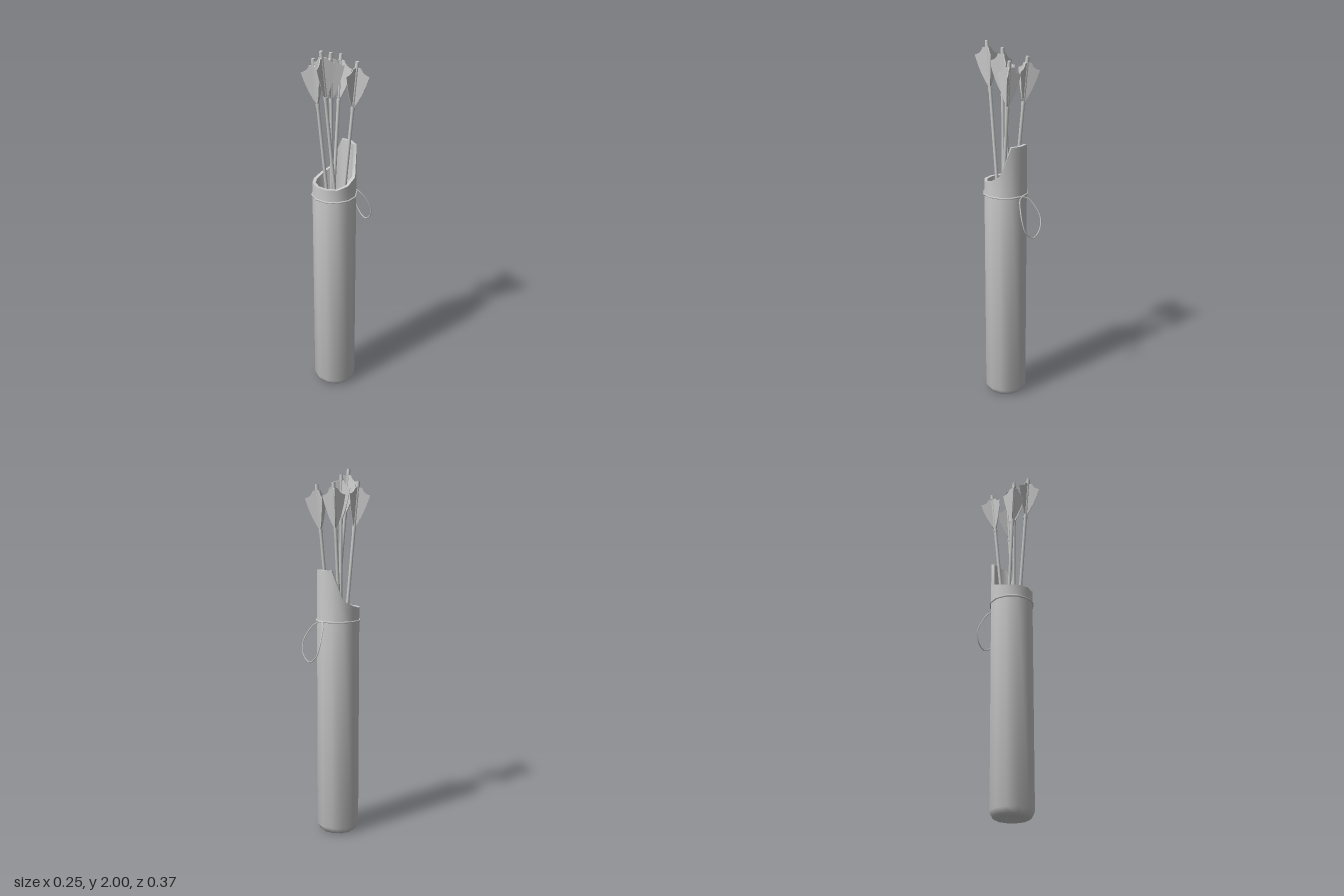
import * as THREE from 'three';
import { toCreasedNormals } from 'three/addons/utils/BufferGeometryUtils.js';

const SIDES = 12;
const CENTER_Z = 0.025;
const FLOOR_Y = 0.93;
const material = new THREE.MeshStandardMaterial({ color: 0xcccccc });
const v2 = (x, y) => new THREE.Vector2(x, y);
const v3 = (x, y, z) => new THREE.Vector3(x, y, z);

function part(name, geometry, parent) {
  const mesh = new THREE.Mesh(geometry, material);
  mesh.name = name;
  parent.add(mesh);
  return mesh;
}

// Hollow case: a lathe whose rim climbs from the low front to the tall back
function caseGeometry() {
  const rim = [1.265, 1.265, 1.265, 1.28, 1.31, 1.47, 1.47];
  const profile = [
    v2(0, 0), v2(0.088, 0), v2(0.102, 0.01), v2(0.117, 0.038),
    v2(0.118, 1.19), v2(0.118, 1.3), v2(0.1, 1.3), v2(0.093, FLOOR_Y), v2(0, FLOOR_Y),
  ];
  const geometry = new THREE.LatheGeometry(profile, SIDES);
  const p = geometry.attributes.position;
  for (let i = 0; i < p.count; i++) {
    if (p.getY(i) < 1.25) continue;
    const angle = Math.abs(Math.atan2(p.getX(i), p.getZ(i)));
    p.setY(i, rim[Math.round(angle / (Math.PI / 6))]);
  }
  return toCreasedNormals(geometry, 0.7);
}

// Feather: a swept blade, thick at the shaft and thin at its outer edge
function vaneGeometry() {
  const shape = new THREE.Shape();
  shape.moveTo(0, -0.25);
  shape.quadraticCurveTo(0.045, -0.18, 0.07, -0.07);
  shape.quadraticCurveTo(0.035, -0.065, 0.025, -0.035);
  shape.lineTo(0, -0.03);
  const geometry = new THREE.ExtrudeGeometry(shape, { depth: 0.007, bevelEnabled: false, curveSegments: 4 });
  geometry.translate(0, 0, -0.0035);
  const p = geometry.attributes.position;
  for (let i = 0; i < p.count; i++) p.setZ(i, p.getZ(i) * (1 - 0.8 * p.getX(i) / 0.07));
  geometry.computeVertexNormals();
  return geometry;
}

// Arrow hung from its nock; vaneAngle is measured from +x towards +z
function makeArrow(nock, foot, vaneAngle, vane) {
  const arrow = new THREE.Group();
  arrow.name = 'arrow';
  const length = nock.distanceTo(foot);
  part('shaft', new THREE.CylinderGeometry(0.009, 0.009, length - 0.02, 8), arrow).position.y = -length / 2 - 0.01;
  part('nock', new THREE.CylinderGeometry(0.009, 0.011, 0.03, 8), arrow).position.y = -0.015;
  part('featherBinding', new THREE.CylinderGeometry(0.011, 0.011, 0.02, 8), arrow).position.y = -0.25;
  for (let i = 0; i < 3; i++) {
    const angle = vaneAngle + i * 120;
    part('feather', vane, arrow).rotation.y = -THREE.MathUtils.degToRad(angle);
  }
  arrow.position.copy(nock);
  arrow.quaternion.setFromUnitVectors(v3(0, 1, 0), nock.clone().sub(foot).normalize());
  return arrow;
}

export function createModel() {
  const model = new THREE.Group();
  model.name = 'quiver';

  part('case', caseGeometry(), model).position.z = CENTER_Z;

  // Cord wrapped around the case
  const band = new THREE.TorusGeometry(0.12, 0.005, 6, SIDES);
  band.rotateX(Math.PI / 2);
  part('cord', band, model).position.set(0, 1.195, CENTER_Z);

  // Hanging loop at the back, mirrored about x = 0
  const half = [
    v3(0.035, 1.18, -0.117), v3(0.06, 1.13, -0.148), v3(0.069, 1.08, -0.17), v3(0.052, 1.02, -0.181),
  ];
  const mirrored = half.map((p) => v3(-p.x, p.y, p.z)).reverse();
  const loop = new THREE.CatmullRomCurve3(
    [v3(0, 1.195, -0.098), ...half, v3(0, 0.985, -0.185), ...mirrored], true);
  part('hangingLoop', new THREE.TubeGeometry(loop, 24, 0.0035, 5, true), model);

  // Arrows: nock position, foot position, first feather angle
  const vane = vaneGeometry();
  const arrows = [
    [v3(-0.066, 1.93, -0.07), v3(-0.035, FLOOR_Y, 0.02), 220],
    [v3(0.067, 1.92, -0.07), v3(0.038, FLOOR_Y, 0.02), -38],
    [v3(-0.065, 1.935, 0.108), v3(-0.035, FLOOR_Y, 0.02), 137],
    [v3(0.033, 2, 0.13), v3(0.038, FLOOR_Y, 0.02), 60],
    [v3(0, 1.97, 0.046), v3(0, FLOOR_Y, 0.04), 180],
  ];
  for (const [nock, foot, angle] of arrows) model.add(makeArrow(nock, foot, angle, vane));

  return model;
}
